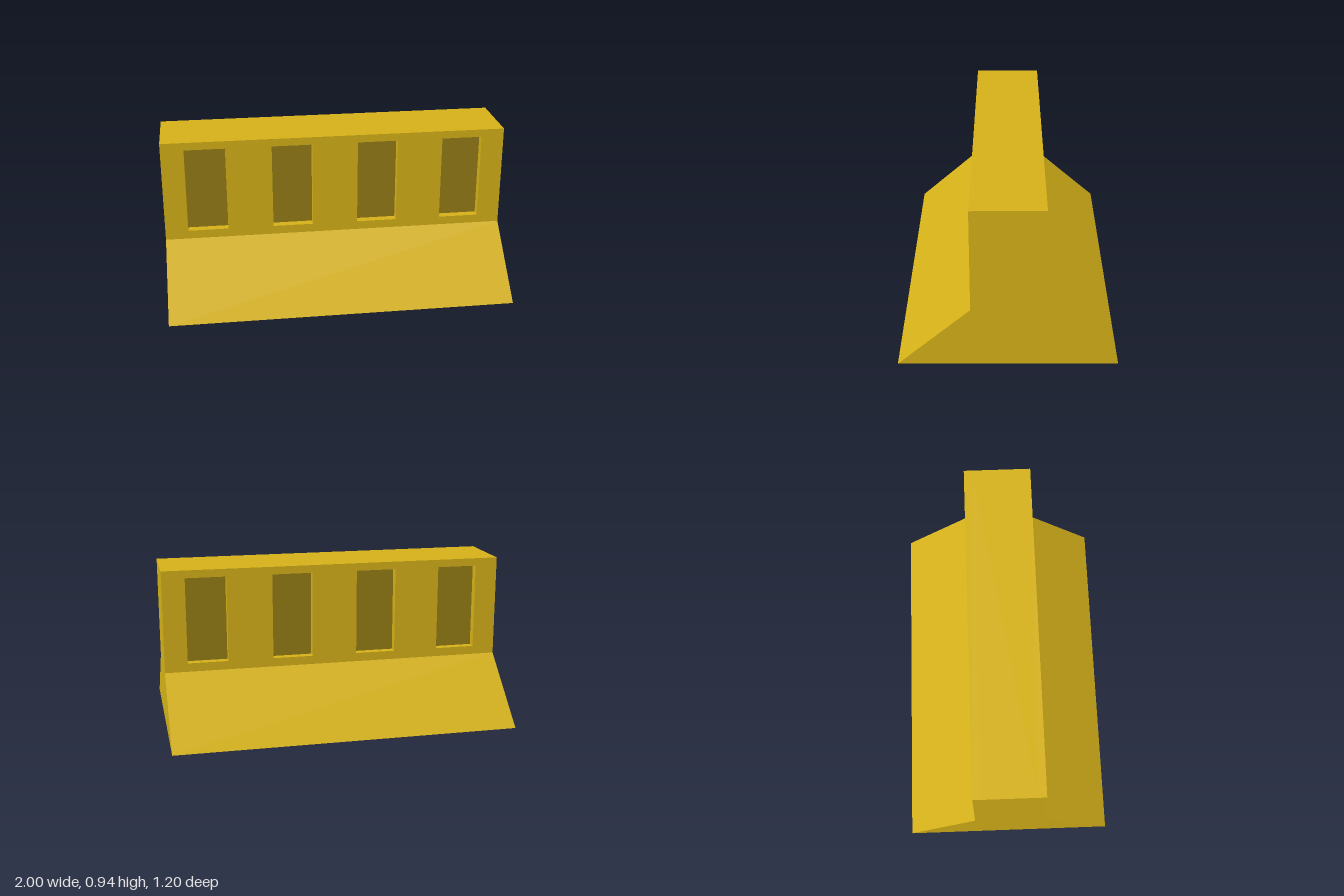
import * as THREE from 'three';

const LENGTH = 2, HEIGHT = 0.945, SHOULDER = 0.35;
const WALL = 0.2, DEPTH = 0.05, FOOT = 0.6;
const WINDOW = { w: 0.235, y0: 0.4, y1: 0.9, xs: [-0.75, -0.25, 0.25, 0.75] };

const polygon = (Type, pts) => new Type(pts.map(([x, y]) => new THREE.Vector2(x, y)));

export function createModel() {
  const group = new THREE.Group();
  const yellow = new THREE.MeshStandardMaterial({ color: 0xd4b018, flatShading: true });
  const dark = new THREE.MeshStandardMaterial({ color: 0x947b15, flatShading: true });

  const add = (name, geometry, material, parent = group) => {
    const mesh = new THREE.Mesh(geometry, material);
    mesh.name = name;
    parent.add(mesh);
    return mesh;
  };

  // Flared foot and core: one cross-section swept along the length
  const core = WALL - DEPTH;
  const section = polygon(THREE.Shape, [
    [-FOOT, 0], [FOOT, 0], [WALL, SHOULDER], [core, SHOULDER],
    [core, HEIGHT], [-core, HEIGHT], [-core, SHOULDER], [-WALL, SHOULDER],
  ]);
  const body = new THREE.ExtrudeGeometry(section, { depth: LENGTH, bevelEnabled: false });
  body.translate(0, 0, -LENGTH / 2).rotateY(Math.PI / 2);
  add('barrierBody', body, yellow);

  // Wall facing with four rectangular openings
  const face = polygon(THREE.Shape, [
    [-LENGTH / 2, SHOULDER], [LENGTH / 2, SHOULDER], [LENGTH / 2, HEIGHT], [-LENGTH / 2, HEIGHT],
  ]);
  for (const x of WINDOW.xs) {
    const a = x - WINDOW.w / 2, b = x + WINDOW.w / 2;
    face.holes.push(polygon(THREE.Path, [
      [a, WINDOW.y0], [a, WINDOW.y1], [b, WINDOW.y1], [b, WINDOW.y0],
    ]));
  }
  const facing = new THREE.ExtrudeGeometry(face, { depth: DEPTH, bevelEnabled: false });
  facing.translate(0, 0, core);
  const floor = new THREE.PlaneGeometry(WINDOW.w, WINDOW.y1 - WINDOW.y0);

  // The same facing and dark recess floors on front and back
  for (const [name, turn] of [['frontWall', 0], ['backWall', Math.PI]]) {
    const wall = new THREE.Group();
    wall.name = name;
    wall.rotation.y = turn;
    add('wallFacing', facing, yellow, wall);
    for (const x of WINDOW.xs) {
      add('recessFloor', floor, dark, wall)
        .position.set(x, (WINDOW.y0 + WINDOW.y1) / 2, core + 0.002);
    }
    group.add(wall);
  }
  return group;
}
